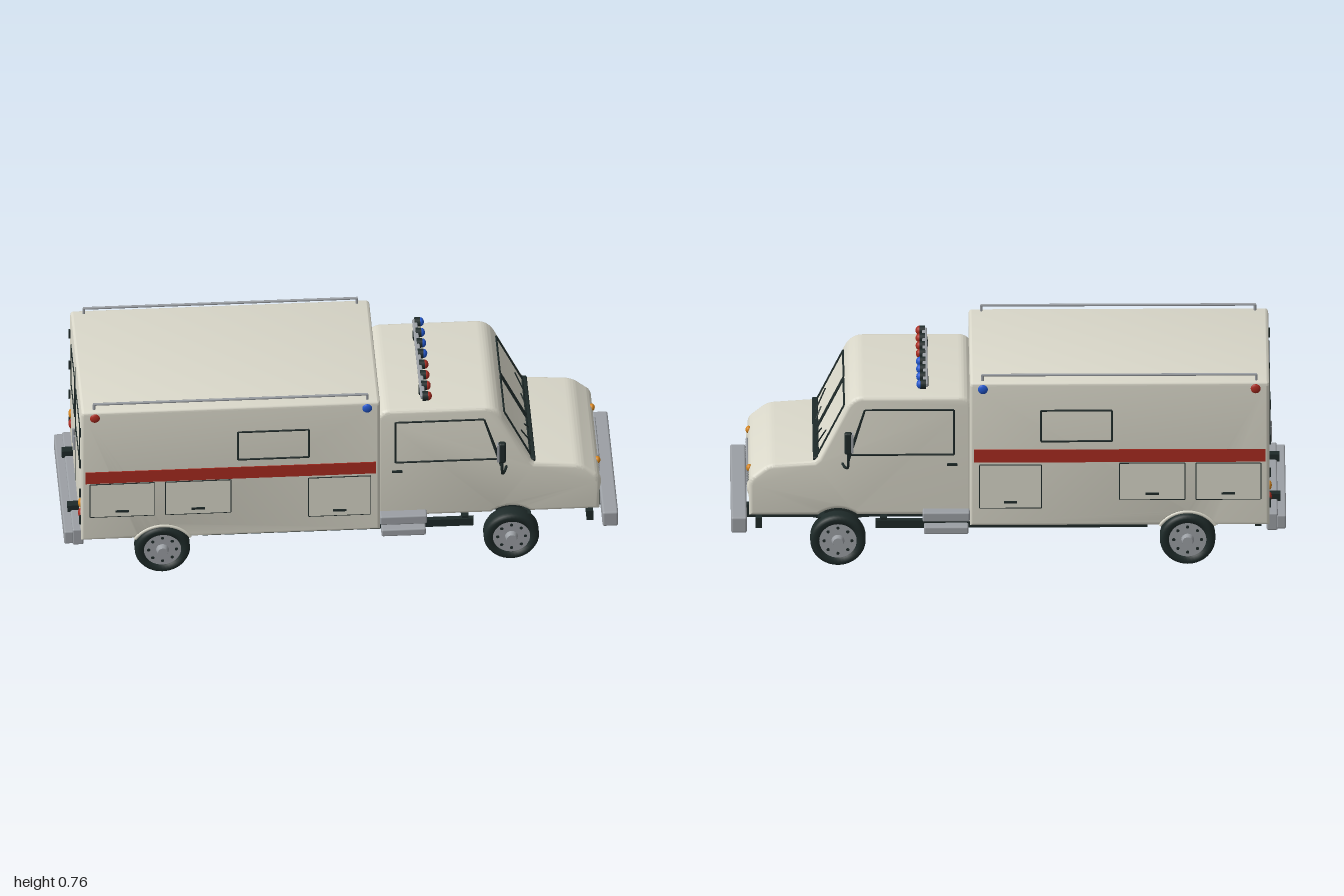
import * as THREE from 'three';
import { toCreasedNormals } from 'three/addons/utils/BufferGeometryUtils.js';
import { RoundedBoxGeometry } from 'three/addons/geometries/RoundedBoxGeometry.js';

const paint = (name, color) => Object.assign(new THREE.MeshStandardMaterial({ color }), { name });
const V = (x, y, z) => new THREE.Vector3(x, y, z);

export function createModel() {
  const root = new THREE.Group();
  root.name = 'rescueTruck';
  const cream = paint('cream', 0xd9d7c9), dark = paint('dark', 0x1e2a29), grey = paint('grey', 0x9b9fa4);
  const red = paint('red', 0xa92b20), blue = paint('blue', 0x2257cc), amber = paint('amber', 0xd4851f);

  const add = (name, geo, mat, x = 0, y = 0, z = 0, parent = root) => {
    const m = new THREE.Mesh(geo, mat);
    m.name = name;
    m.position.set(x, y, z);
    parent.add(m);
    return m;
  };
  const box = (name, mat, x0, x1, y0, y1, z0, z1, r = 0) => {
    const d = [x1 - x0, y1 - y0, Math.abs(z1 - z0)];
    const geo = r ? new RoundedBoxGeometry(...d, 3, r) : new THREE.BoxGeometry(...d);
    return add(name, geo, mat, (x0 + x1) / 2, (y0 + y1) / 2, (z0 + z1) / 2);
  };
  // round bar between two points
  const bar = (name, mat, a, b, r, sides = 8) => {
    const d = b.clone().sub(a);
    const m = add(name, new THREE.CylinderGeometry(r, r, d.length(), sides), mat);
    m.position.copy(a).add(b).multiplyScalar(0.5);
    m.quaternion.setFromUnitVectors(V(0, 1, 0), d.normalize());
    return m;
  };
  // closed frame of bars through a list of points
  const frame = (name, pts, r, mat = dark) =>
    pts.forEach((p, i) => bar(name, mat, p, pts[(i + 1) % pts.length], r, 6));
  const dome = (name, mat, x, y, z, r, sx = 1, sz = 1) =>
    add(name, new THREE.SphereGeometry(r, 20, 14), mat, x, y, z).scale.set(sx, 1, sz);
  // side profile extruded across the width with rounded edges
  const hull = (name, shape, half, b) => {
    const geo = new THREE.ExtrudeGeometry(shape, { depth: 2 * (half - b), bevelEnabled: true, bevelThickness: b,
      bevelSize: b, bevelOffset: -b, bevelSegments: 4, curveSegments: 16 });
    geo.translate(0, 0, b - half);
    return add(name, toCreasedNormals(geo, 0.55), cream);
  };
  const arch = (shape, cx, y0, R) => {
    const a = Math.asin((y0 - 0.1) / R);
    shape.lineTo(cx - R * Math.cos(a), y0);
    shape.absarc(cx, 0.1, R, Math.PI - a, a, true);
  };
  const rearX = -0.645, frontX = 0.615;

  // rear box body
  const body = new THREE.Shape();
  body.moveTo(-0.94, 0.165);
  arch(body, rearX, 0.165, 0.115);
  body.lineTo(0.14, 0.165);
  body.lineTo(0.14, 0.72);
  body.quadraticCurveTo(0.14, 0.735, 0.125, 0.735);
  body.lineTo(-0.925, 0.735);
  body.quadraticCurveTo(-0.94, 0.735, -0.94, 0.72);
  hull('boxBody', body, 0.315, 0.012);

  // cab with hood
  const cab = new THREE.Shape();
  cab.moveTo(0.13, 0.187);
  arch(cab, frontX, 0.187, 0.112);
  cab.lineTo(0.935, 0.187);
  cab.lineTo(0.937, 0.31);
  cab.quadraticCurveTo(0.937, 0.337, 0.915, 0.35);
  cab.lineTo(0.885, 0.375);
  cab.quadraticCurveTo(0.865, 0.39, 0.84, 0.392);
  cab.lineTo(0.7, 0.402);
  cab.lineTo(0.685, 0.415);
  cab.lineTo(0.59, 0.61);
  cab.quadraticCurveTo(0.567, 0.66, 0.52, 0.66);
  cab.lineTo(0.18, 0.66);
  cab.quadraticCurveTo(0.14, 0.66, 0.13, 0.62);
  hull('cab', cab, 0.27, 0.016);

  // windscreen frames, wipers and cowl
  const screen = (y, z, out = 0.001) => V(0.685 - (y - 0.415) * 0.487 + out, y, z);
  box('cowl', dark, 0.675, 0.705, 0.396, 0.414, -0.255, 0.255, 0.006);
  for (const s of [1, -1]) {
    frame('windscreenFrame', [screen(0.608, s * 0.008), screen(0.608, s * 0.23),
      screen(0.415, s * 0.23), screen(0.415, s * 0.008)], 0.005);
    bar('wiper', dark, screen(0.485, s * 0.175, 0.006), screen(0.414, s * 0.145, 0.006), 0.0025);
    bar('wiper', dark, screen(0.452, s * 0.092, 0.006), screen(0.414, s * 0.065, 0.006), 0.0025);
  }

  // grille and nose lamps
  box('grilleBack', dark, 0.93, 0.938, 0.242, 0.314, -0.113, 0.113);
  for (let i = 0; i < 8; i++) {
    const y = 0.243 + i * 0.01;
    bar('grilleSlat', grey, V(0.94, y, -0.115), V(0.94, y, 0.115), 0.0042);
  }
  for (const s of [1, -1]) {
    dome('turnLamp', amber, 0.934, 0.328, s * 0.16, 0.0135, 0.8);
    dome('headlamp', cream, 0.934, 0.278, s * 0.217, 0.026, 0.35);
  }

  for (const s of [1, -1]) {
    const z = s * 0.315, rect = (x0, x1, y0, y1) => [V(x0, y0, z), V(x1, y0, z), V(x1, y1, z), V(x0, y1, z)];
    // box side: stripe, window, lockers, corner lamps
    box('sideStripe', red, -0.925, 0.125, 0.42, 0.47, s * 0.311, s * 0.318);
    frame('sideWindowFrame', rect(-0.373, -0.117, 0.503, 0.625), 0.004);
    for (const [x0, x1, y0, y1] of [[-0.908, -0.675, 0.27, 0.414], [-0.635, -0.4, 0.27, 0.414], [-0.118, 0.105, 0.238, 0.408]]) {
      const mid = (x0 + x1) / 2;
      box('lockerDoor', cream, x0, x1, y0, y1, s * 0.312, s * 0.317);
      frame('lockerSeam', rect(x0, x1, y0, y1), 0.0026);
      box('lockerHandle', dark, mid - 0.024, mid + 0.024, y0 + 0.02, y0 + 0.028, s * 0.314, s * 0.321);
    }
    dome('rearCornerLamp', red, -0.89, 0.71, z, 0.018, 1, 0.45);
    dome('frontCornerLamp', blue, 0.093, 0.71, z, 0.018, 1, 0.45);
    const a = 0.58;
    add('wheelArchLip', new THREE.TorusGeometry(0.119, 0.006, 8, 24, Math.PI - 2 * a), cream, rearX, 0.1, s * 0.314).rotation.z = a;

    // roof rail
    const rz = s * 0.293;
    bar('roofRail', grey, V(-0.895, 0.757, rz), V(0.097, 0.757, rz), 0.005);
    for (const x of [-0.892, 0.094]) bar('railPost', grey, V(x, 0.725, rz), V(x, 0.757, rz), 0.005);

    // cab door: window, handle, steps
    const cz = s * 0.27;
    frame('doorWindowFrame', [V(0.197, 0.43, cz), V(0.575, 0.43, cz), V(0.518, 0.608, cz), V(0.197, 0.608, cz)], 0.004);
    bar('quarterWindowBar', dark, V(0.518, 0.608, cz), V(0.578, 0.4, cz), 0.004, 6);
    box('doorHandle', dark, 0.185, 0.222, 0.388, 0.395, s * 0.268, s * 0.277);
    box('upperStep', grey, 0.14, 0.31, 0.178, 0.215, s * 0.22, s * 0.308, 0.006);
    box('lowerStep', grey, 0.145, 0.305, 0.13, 0.16, s * 0.22, s * 0.312, 0.006);
    bar('stepHanger', dark, V(0.225, 0.14, s * 0.24), V(0.225, 0.2, s * 0.24), 0.02);

    // wing mirror
    const path = new THREE.CatmullRomCurve3([V(0.6, 0.395, s * 0.262), V(0.59, 0.395, s * 0.3),
      V(0.58, 0.408, s * 0.33), V(0.578, 0.435, s * 0.344), V(0.578, 0.48, s * 0.346)]);
    add('mirrorArm', new THREE.TubeGeometry(path, 24, 0.005, 8), dark);
    box('mirrorCase', dark, 0.565, 0.592, 0.467, 0.553, s * 0.329, s * 0.353, 0.008);
    box('mirrorGlass', grey, 0.56, 0.568, 0.473, 0.547, s * 0.331, s * 0.351);

    // rear doors, hinges and tail lamps
    const rx = -0.94;
    frame('rearWindowFrame', [V(rx, 0.47, s * 0.03), V(rx, 0.47, s * 0.24), V(rx, 0.635, s * 0.24), V(rx, 0.635, s * 0.03)], 0.004);
    bar('rearDoorHandle', grey, V(rx - 0.006, 0.36, s * 0.022), V(rx - 0.006, 0.42, s * 0.022), 0.005);
    for (const y of [0.25, 0.37, 0.5, 0.64]) box('rearHinge', dark, rx - 0.006, rx + 0.004, y - 0.018, y + 0.018, s * 0.298, s * 0.306);
    dome('tailTurnLamp', amber, rx, 0.305, s * 0.272, 0.017, 0.5);
    dome('tailBrakeLamp', red, rx, 0.26, s * 0.272, 0.017, 0.5);
    box('rearBumperMount', dark, -0.98, -0.935, 0.19, 0.225, s * 0.15, s * 0.18);

    // chassis rails
    box('chassisRail', dark, -0.94, 0.95, 0.135, 0.185, s * 0.145, s * 0.17);
    box('outerRail', dark, -0.5, 0.48, 0.14, 0.17, s * 0.255, s * 0.275);
  }
  for (let i = 0; i < 9; i++) {
    const x = -0.9 + i * 0.225;
    box('crossMember', dark, x - 0.012, x + 0.012, 0.14, 0.18, -0.27, 0.27);
  }
  bar('rearDoorSeam', dark, V(-0.94, 0.19, 0), V(-0.94, 0.71, 0), 0.002, 6);

  // bumpers
  box('frontBumper', grey, 0.943, 1, 0.137, 0.2, -0.31, 0.31, 0.008);
  box('rearBumper', grey, -1, -0.965, 0.143, 0.197, -0.3, 0.3, 0.006);
  box('rearBumperStep', grey, -0.97, -0.93, 0.137, 0.205, -0.3, 0.3, 0.006);

  // roof light bar
  box('lightBar', grey, 0.29, 0.308, 0.682, 0.698, -0.235, 0.235, 0.004);
  for (const s of [1, -1]) {
    box('lightBarMount', dark, 0.288, 0.312, 0.65, 0.688, s * 0.153, s * 0.178);
    for (let i = 0; i < 4; i++) {
      const z = s * (0.033 + i * 0.0643);
      bar('beaconSocket', dark, V(0.298, 0.69, z), V(0.318, 0.69, z), 0.0175, 20);
      dome('beacon', s > 0 ? red : blue, 0.318, 0.69, z, 0.0165, 0.85);
    }
  }

  // wheels, axles and springs
  const tire = new THREE.LatheGeometry([[0.068, -0.03], [0.085, -0.034], [0.095, -0.029], [0.1, -0.018], [0.1, 0.018],
    [0.095, 0.029], [0.085, 0.034], [0.068, 0.03], [0.066, 0.01]].map(p => new THREE.Vector2(...p)), 40);
  for (const x of [rearX, frontX]) {
    bar('axle', dark, V(x, 0.1, -0.26), V(x, 0.1, 0.26), 0.015, 16);
    dome('differential', dark, x, 0.1, 0, 0.036, 1.1, 1.15);
    for (const s of [1, -1]) {
      const wheel = new THREE.Group();
      wheel.name = 'wheel';
      wheel.position.set(x, 0.1, s * 0.271);
      wheel.rotation.x = s * Math.PI / 2;
      root.add(wheel);
      add('tire', tire, dark, 0, 0, 0, wheel);
      add('rim', new THREE.CylinderGeometry(0.069, 0.069, 0.05, 32), grey, 0, 0, 0, wheel);
      add('hubCap', new THREE.CylinderGeometry(0.018, 0.024, 0.022, 20), grey, 0, 0.034, 0, wheel);
      for (let i = 0; i < 8; i++) {
        const a = i * Math.PI / 4;
        add('rimHole', new THREE.CylinderGeometry(0.006, 0.006, 0.002, 10), dark, 0.05 * Math.cos(a), 0.0255, 0.05 * Math.sin(a), wheel);
      }
      box('springMount', dark, x - 0.02, x + 0.02, 0.092, 0.15, s * 0.135, s * 0.172);
      bar('leafSpring', dark, V(x - 0.13, 0.143, s * 0.155), V(x, 0.118, s * 0.155), 0.008);
      bar('leafSpring', dark, V(x + 0.13, 0.143, s * 0.155), V(x, 0.118, s * 0.155), 0.008);
    }
  }
  bar('driveShaft', dark, V(rearX, 0.105, 0), V(rearX + 0.2, 0.15, 0), 0.012, 12);
  bar('driveShaft', dark, V(frontX, 0.105, 0), V(frontX - 0.2, 0.15, 0), 0.012, 12);
  return root;
}
